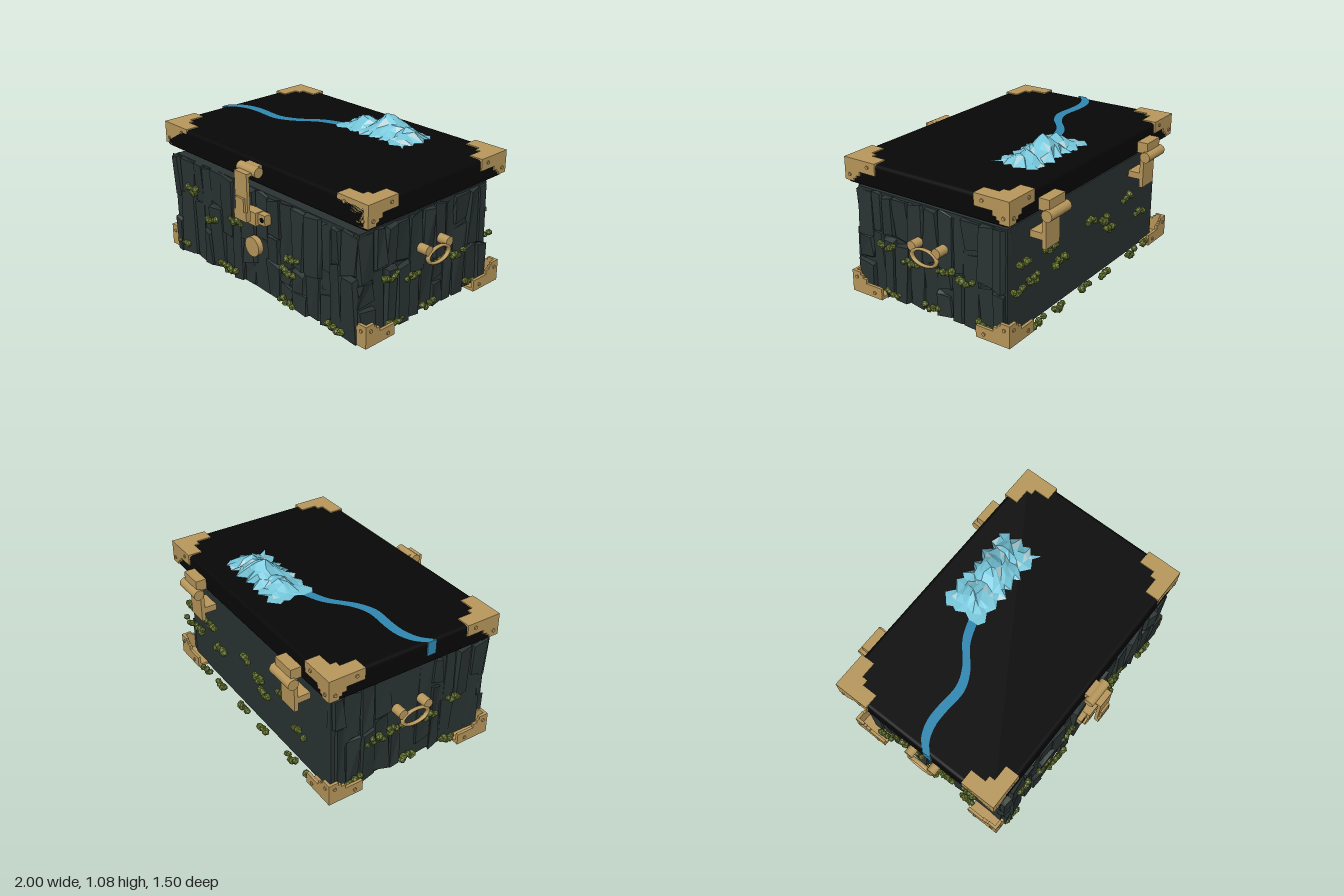
import * as THREE from 'three';
import { mergeGeometries } from 'three/addons/utils/BufferGeometryUtils.js';
import { RoundedBoxGeometry } from 'three/addons/geometries/RoundedBoxGeometry.js';

const mat = (name, color, opts = {}) => {
  const m = new THREE.MeshStandardMaterial({ color, ...opts });
  m.name = name;
  return m;
};

// small seeded random generator
let seed = 7;
const rand = (a = 0, b = 1) => {
  seed = (seed * 16807) % 2147483647;
  return a + (b - a) * (seed / 2147483647);
};

export function createModel() {
  seed = 7;
  const M = {
    lid: mat('black', 0x070707),
    stone: mat('stone', 0x2a3333, { flatShading: true }),
    brass: mat('brass', 0xb8985c),
    moss: mat('moss', 0x68772f, { flatShading: true }),
    ice: mat('ice', 0x76c6da, { flatShading: true, side: THREE.DoubleSide }),
    snow: mat('snow', 0xb4d4da, { flatShading: true, side: THREE.DoubleSide }),
    river: mat('river', 0x2f88b2, { side: THREE.DoubleSide }),
  };
  const model = new THREE.Group();
  model.name = 'chest';

  const add = (name, geo, material, x = 0, y = 0, z = 0, parent = model) => {
    const m = new THREE.Mesh(geo, material);
    m.name = name;
    m.position.set(x, y, z);
    parent.add(m);
    return m;
  };
  // box given by its min and max on each axis
  const span = (name, x0, x1, y0, y1, z0, z1, material, parent = model) =>
    add(name, new THREE.BoxGeometry(x1 - x0, y1 - y0, z1 - z0), material,
      (x0 + x1) / 2, (y0 + y1) / 2, (z0 + z1) / 2, parent);
  const group = (name, x = 0, y = 0, z = 0) => {
    const g = new THREE.Group();
    g.name = name;
    g.position.set(x, y, z);
    model.add(g);
    return g;
  };

  // body core and lid
  span('bodyCore', -0.89, 0.895, 0.024, 0.735, -0.58, 0.585, M.stone);
  add('lid', new RoundedBoxGeometry(1.94, 0.165, 1.25, 2, 0.025), M.lid, 0, 0.8625, -0.02);

  // rough stone slabs: boxes with every corner nudged, outer corners drawn in
  const slab = (u, y, w, h, d) => {
    const g = new THREE.BoxGeometry(w, h, d);
    const off = Array.from({ length: 8 }, () => [rand(-0.016, 0.016), rand(-0.025, 0.025), rand(-0.025, 0.002)]);
    const p = g.attributes.position;
    for (let i = 0; i < p.count; i++) {
      const sx = Math.sign(p.getX(i)), sy = Math.sign(p.getY(i)), sz = Math.sign(p.getZ(i));
      const o = off[(sx > 0 ? 1 : 0) + (sy > 0 ? 2 : 0) + (sz > 0 ? 4 : 0)];
      const out = sz > 0 ? 1 : 0;
      p.setXYZ(i, p.getX(i) + o[0] - sx * out * 0.008,
        Math.min(0.735 - y, Math.max(0.004 - y, p.getY(i) + o[1] - sy * out * 0.012)),
        p.getZ(i) + o[2] * out);
    }
    return g.translate(u, y, d / 2);
  };
  const panel = (name, length, cols, x, z, turn) => {
    const parts = [];
    const widths = Array.from({ length: cols }, () => rand(0.7, 1.3));
    const scale = length / widths.reduce((a, b) => a + b);
    let u = -length / 2;
    for (const share of widths) {
      const w = share * scale;
      const cuts = [0.015, rand(0.27, 0.52), 0.735];
      if (rand() < 0.3) cuts.splice(1, 0, cuts[1] - rand(0.12, 0.2));
      for (let k = 0; k + 1 < cuts.length; k++)
        parts.push(slab(u + w / 2, (cuts[k] + cuts[k + 1]) / 2, w * rand(0.95, 1.1),
          cuts[k + 1] - cuts[k], rand(0.04, 0.075)));
      u += w;
    }
    add(name, mergeGeometries(parts), M.stone, x, 0, z).rotation.y = turn;
  };
  panel('frontStones', 1.79, 16, 0, 0.56, 0);
  panel('leftStones', 1.16, 11, 0.867, 0.012, Math.PI / 2);
  panel('rightStones', 1.16, 11, -0.85, 0.012, -Math.PI / 2);

  // stepped corner brackets: three plates meeting at a corner
  const plate = (pts, dir) => new THREE.ExtrudeGeometry(
    new THREE.Shape(pts.map(([u, v]) => new THREE.Vector2(dir * u, -v))), { depth: 0.02, bevelEnabled: false });
  const sidePts = [[0, 0], [0.25, 0], [0.25, 0.08], [0.12, 0.08], [0.12, 0.11], [0.09, 0.11],
    [0.09, 0.13], [0.07, 0.13], [0.07, 0.15], [0, 0.15]];
  const capPts = [[0, 0], [0.25, 0], [0.25, 0.1], [0.14, 0.1], [0.14, 0.14], [0.1, 0.14], [0.1, 0.25], [0, 0.25]];
  const rivetedPlate = (dir) => mergeGeometries([
    plate(sidePts, dir).translate(0, 0, -0.02),
    ...[[0.04, 0.11], [0.19, 0.035]].map(([u, v]) =>
      new THREE.CylinderGeometry(0.012, 0.012, 0.014, 8).rotateX(Math.PI / 2)
        .translate(dir * u, -v, 0).toNonIndexed()),
  ]);
  const bracketGeo = mergeGeometries([
    rivetedPlate(-1),
    rivetedPlate(1).rotateY(Math.PI / 2),
    plate(capPts, -1).rotateX(Math.PI / 2),
  ]);
  const corners = [[1, 1], [1, -1], [-1, -1], [-1, 1]];
  corners.forEach(([sx, sz], k) => {
    const top = add('lidBracket', bracketGeo, M.brass, sx * 0.98, 0.953, -0.025 + sz * 0.63);
    top.rotation.y = k * Math.PI / 2;
    const [bx, bz] = corners[(k + 1) % 4];
    const low = add('baseBracket', bracketGeo, M.brass, bx * 0.98, 0.018, -0.025 + bz * 0.63);
    low.rotation.set(Math.PI, k * Math.PI / 2, 0, 'YXZ');
  });

  // hinges
  for (const s of [1, -1]) {
    const h = group('hinge', s * 0.592, 0, 0);
    add('hingeBarrel', new THREE.CylinderGeometry(0.037, 0.037, 0.215, 16).rotateZ(Math.PI / 2), M.brass, 0, 0.78, -0.715, h);
    span('hingeTop', -0.085, 0.085, 0.8, 0.875, -0.72, -0.64, M.brass, h);
    span('hingeLeaf', -0.075, 0.075, 0.55, 0.78, -0.692, -0.665, M.brass, h);
    span('hingeFoot', -0.075, 0.075, 0.605, 0.65, -0.67, -0.575, M.brass, h);
  }

  // front latch
  const latch = group('latch');
  add('latchBarrel', new THREE.CylinderGeometry(0.035, 0.035, 0.18, 16).rotateZ(Math.PI / 2), M.brass, 0, 0.895, 0.655, latch);
  span('latchMount', -0.06, 0.06, 0.865, 0.925, 0.6, 0.64, M.brass, latch);
  span('latchArm', -0.06, 0.06, 0.875, 0.897, 0.655, 0.73, M.brass, latch);
  span('latchStrap', -0.06, 0.06, 0.575, 0.88, 0.708, 0.73, M.brass, latch);
  span('latchPad', -0.04, 0.04, 0.64, 0.73, 0.73, 0.745, M.brass, latch);
  span('latchFoot', -0.06, 0.06, 0.575, 0.64, 0.73, 0.742, M.brass, latch);
  span('latchBase', -0.075, 0.075, 0.535, 0.625, 0.61, 0.68, M.brass, latch);
  span('latchWings', -0.14, 0.14, 0.548, 0.62, 0.61, 0.66, M.brass, latch);
  for (const s of [1, -1])
    add('latchHole', new THREE.CylinderGeometry(0.017, 0.017, 0.006, 12).rotateX(Math.PI / 2), M.lid, s * 0.112, 0.584, 0.661, latch);
  add('medallion', new THREE.CylinderGeometry(0.068, 0.068, 0.04, 24).rotateX(Math.PI / 2), M.brass, 0, 0.357, 0.638);

  // side ring handles
  for (const s of [1, -1]) {
    const h = group('handle', s * 0.97, 0, -0.022);
    const ring = new THREE.TorusGeometry(0.097, 0.015, 8, 28).rotateY(Math.PI / 2).scale(1, 0.56, 1);
    add('handleRing', ring, M.brass, s * 0.013, 0.433, 0, h);
    for (const k of [1, -1])
      add('handleKnob', new THREE.CylinderGeometry(0.033, 0.033, 0.08, 16).rotateZ(Math.PI / 2), M.brass, -s * 0.02, 0.488, k * 0.096, h);
  }

  // moss clumps: small faceted blobs spread along each wall
  const clump = (x, y, z, ax, az) => {
    const blobs = [];
    for (let i = 0; i < 5; i++) {
      const r = rand(0.019, 0.029), t = (i - 2) * 0.025 + rand(-0.012, 0.012);
      blobs.push(new THREE.IcosahedronGeometry(r, 0).scale(1, rand(0.8, 1.2), 1).rotateY(rand(0, 3))
        .translate(t * ax, rand(-0.018, 0.018), t * az));
    }
    add('moss', mergeGeometries(blobs), M.moss, x, y, z);
  };
  [[-0.69, 0.525], [-0.48, 0.375], [-0.21, 0.45], [0.29, 0.275], [0.35, 0.385], [-0.34, 0.07], [-0.28, 0.06],
    [0.28, 0.055], [0.72, 0.06], [-0.82, 0.08]].forEach(([x, y]) => clump(x, y, 0.617, 1, 0));
  [[0.85, 0.34], [0.7, 0.36], [0.4, 0.36], [0.05, 0.5], [-0.2, 0.35], [-0.6, 0.33], [0.8, 0.5], [0.52, 0.49],
    [-0.12, 0.44], [-0.42, 0.5], [0.65, 0.04], [0.42, 0.04], [0.1, 0.04], [-0.15, 0.04], [-0.5, 0.04],
    [-0.75, 0.04]].forEach(([x, y]) => clump(x, y, -0.632, 1, 0));
  for (const s of [1, -1])
    [[0.34, 0.385], [0.14, 0.32], [-0.13, 0.35], [-0.28, 0.32], [0.3, 0.06], [-0.02, 0.06], [-0.43, 0.07]]
      .forEach(([z, y]) => clump(s * 0.925, y, z, 0, 1));

  // faceted ice ridge: a jittered sheet raised around three peaks
  const nx = 13, nz = 7;
  const ridge = new THREE.PlaneGeometry(0.6, 0.3, nx, nz).rotateX(-Math.PI / 2);
  const peaks = [[0.05, -0.34, 0.095, 0.14], [0.23, -0.375, 0.145, 0.19], [0.4, -0.365, 0.09, 0.14]];
  const rp = ridge.attributes.position;
  for (let i = 0; i < rp.count; i++) {
    const c = i % (nx + 1), r = Math.floor(i / (nx + 1));
    const sideX = c === 0 ? -1 : c === nx ? 1 : 0, sideZ = r === 0 ? -1 : r === nz ? 1 : 0;
    const x = rp.getX(i) + 0.19 + rand(-0.018, 0.018) + sideX * (r % 2 ? 0.03 : 0);
    const z = rp.getZ(i) - 0.345 + rand(-0.014, 0.014) + sideZ * (c % 2 ? 0.02 : -0.02);
    let y = 0;
    for (const [px, pz, ph, pr] of peaks)
      y = Math.max(y, ph * Math.max(0, 1 - Math.hypot(x - px, (z - pz) * 1.1) / pr) ** 1.2);
    rp.setXYZ(i, x, 0.95 + (sideX || sideZ ? 0 : Math.max(0.004, y + rand(-0.01, 0.012))), z);
  }
  const ridgeGeo = ridge.toNonIndexed();
  ridgeGeo.computeVertexNormals();
  ridgeGeo.clearGroups();
  for (let i = 0; i < ridgeGeo.attributes.position.count; i += 3)
    ridgeGeo.addGroup(i, 3, rand() < 0.1 ? 1 : 0);
  add('iceRidge', ridgeGeo, [M.ice, M.snow]);

  // river ribbon along the lid, spilling over the side
  const path = new THREE.CatmullRomCurve3([[-0.978, 0.08], [-0.9, 0.01], [-0.8, -0.025], [-0.7, -0.03], [-0.52, -0.025],
    [-0.4, -0.075], [-0.25, -0.195], [-0.1, -0.255]].map(([x, z]) => new THREE.Vector3(x, 0.948, z)));
  const n = 40;
  const ribbon = new THREE.PlaneGeometry(1, 1, n, 1);
  const bp = ribbon.attributes.position;
  for (let i = 0; i <= n; i++) {
    const p = path.getPoint(i / n);
    [-0.032, 0.032].forEach((dz, row) => bp.setXYZ(row * (n + 1) + i, p.x, p.y, p.z + dz));
  }
  ribbon.computeVertexNormals();
  add('river', ribbon, M.river);
  span('waterfall', -0.978, -0.969, 0.85, 0.948, 0.048, 0.112, M.river);

  return model;
}
